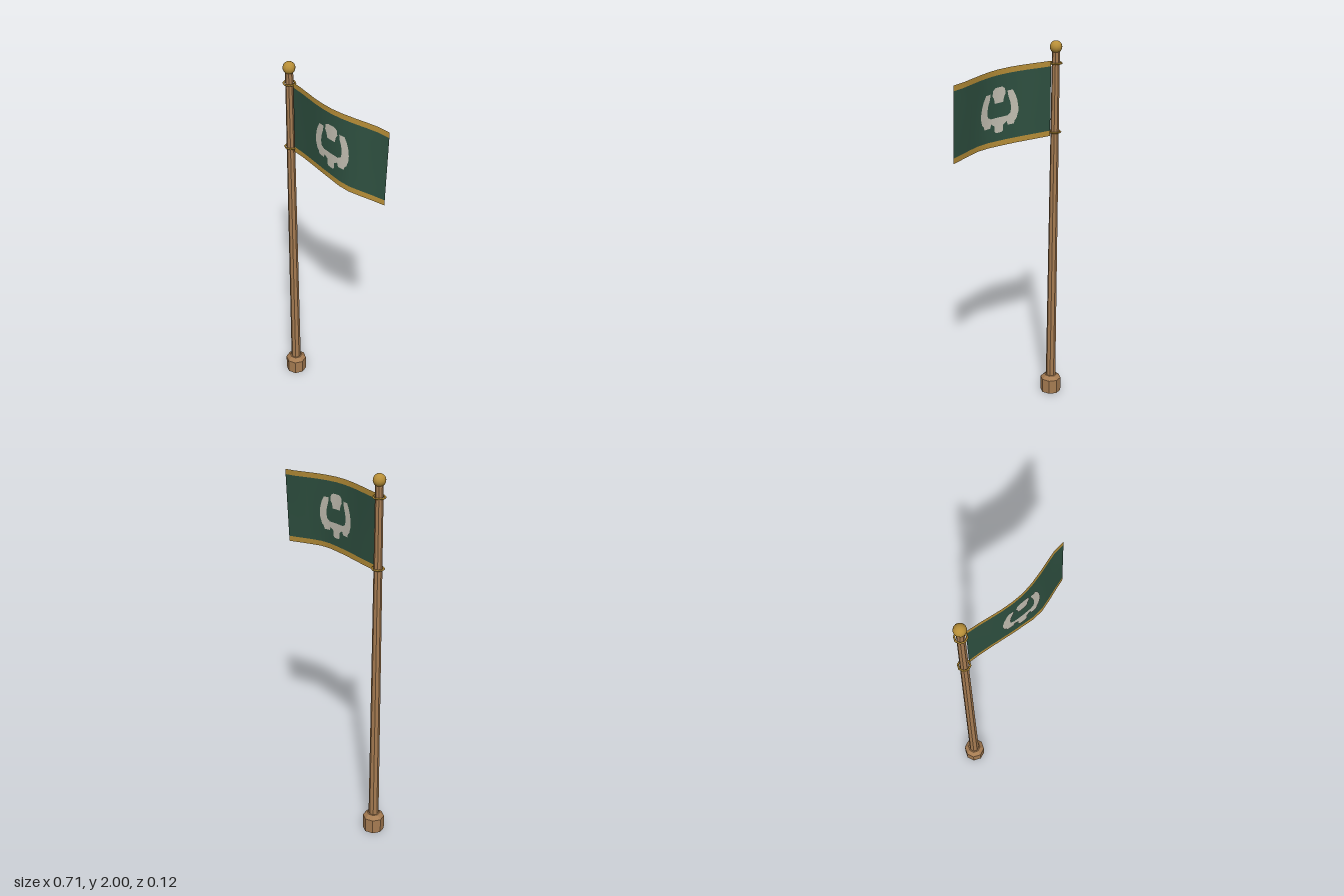
import * as THREE from 'three';

const mat = (name, color, side = THREE.FrontSide, flatShading = false) => {
  const m = new THREE.MeshStandardMaterial({ color, side, flatShading });
  m.name = name;
  return m;
};

const POLE_X = -0.3;
const FLAG_X = -0.27, FLAG_W = 0.625, FLAG_TOP = 1.9, FLAG_H = 0.393;

// Depth of the billowing cloth along its top and bottom hems
const WAVE_TOP = [0, 0.005, 0.013, 0.02, 0.023, 0.02, 0.008, -0.01, -0.031, -0.051, -0.06];
const WAVE_BOTTOM = [0, 0.002, 0.007, 0.013, 0.019, 0.023, 0.027, 0.021, 0.001, -0.022, -0.043];

function sample(table, u) {
  const t = THREE.MathUtils.clamp(u, 0, 1) * (table.length - 1);
  const i = Math.min(Math.floor(t), table.length - 2);
  return THREE.MathUtils.lerp(table[i], table[i + 1], t - i);
}

// Point on the cloth: u runs from pole to fly edge, v from top to bottom
function clothPoint(u, v, offset = 0) {
  const z = THREE.MathUtils.lerp(sample(WAVE_TOP, u), sample(WAVE_BOTTOM, u), v);
  return [FLAG_X + u * FLAG_W, FLAG_TOP - 0.027 * u * u - v * FLAG_H, z + offset];
}

// Patch of cloth through rows of [v, uStart, uEnd], listed from top to bottom
function clothPatch(rows, columns, offset = 0) {
  const positions = [], index = [];
  for (const [v, u0, u1] of rows) {
    for (let c = 0; c <= columns; c++) {
      positions.push(...clothPoint(THREE.MathUtils.lerp(u0, u1, c / columns), v, offset));
    }
  }
  const stride = columns + 1;
  for (let r = 0; r < rows.length - 1; r++) {
    for (let c = 0; c < columns; c++) {
      const a = r * stride + c, b = a + stride;
      index.push(a, b, a + 1, b, b + 1, a + 1);
    }
  }
  const g = new THREE.BufferGeometry();
  g.setAttribute('position', new THREE.Float32BufferAttribute(positions, 3));
  g.setIndex(index);
  g.computeVertexNormals();
  return g;
}

export function createModel() {
  const group = new THREE.Group();
  const wood = mat('wood', 0xa67c52, THREE.FrontSide, true);
  const brass = mat('brass', 0xb88f38);
  const trim = brass.clone();
  trim.side = THREE.DoubleSide;
  trim.name = 'gold trim';
  const green = mat('green cloth', 0x2f5141, THREE.DoubleSide);
  const cream = mat('cream paint', 0xc6c2b5, THREE.DoubleSide);

  const add = (name, geometry, material, x = 0, y = 0) => {
    const mesh = new THREE.Mesh(geometry, material);
    mesh.name = name;
    mesh.position.set(x, y, 0);
    group.add(mesh);
    return mesh;
  };

  // Octagonal foot with a bevelled top, and the tapered pole
  add('foot', new THREE.CylinderGeometry(0.057, 0.057, 0.08, 8), wood, POLE_X, 0.04);
  add('footBevel', new THREE.CylinderGeometry(0.034, 0.057, 0.02, 8), wood, POLE_X, 0.09);
  add('pole', new THREE.CylinderGeometry(0.02, 0.027, 1.86, 8), wood, POLE_X, 1.02);

  // Ball finial and the two rings that hold the flag
  add('finial', new THREE.SphereGeometry(0.032, 12, 10), brass, POLE_X, 1.968);
  for (const y of [1.885, 1.525]) {
    const ring = new THREE.TorusGeometry(0.03, 0.005, 6, 8).rotateX(Math.PI / 2);
    add('flagRing', ring, brass, POLE_X, y);
  }

  // Cloth with a gold band along the top and bottom
  const hem = 0.072;
  const band = (v0, v1, n) =>
    Array.from({ length: n + 1 }, (_, i) => [THREE.MathUtils.lerp(v0, v1, i / n), 0, 1]);
  add('cloth', clothPatch(band(hem, 1 - hem, 6), 10), green);
  add('topHem', clothPatch(band(0, hem, 1), 10), trim);
  add('bottomHem', clothPatch(band(1 - hem, 1, 1), 10), trim);

  // Painted wreath, as [height, left, right] rows about its centre (hundredths)
  const sideLeaf = [
    [9, 5.3, 8.5], [6.3, 5.8, 10], [3.2, 6.9, 11.1], [0, 7.4, 11.6], [-2.6, 6.9, 11.6],
    [-4.2, 4.2, 11.1], [-5.8, 3.7, 10.6], [-6.9, 4.8, 9.5], [-8.5, 5.3, 9],
  ];
  const topLeaf = [[11.6, -2.1, 2.1], [10.6, -3.7, 3.7], [7.9, -4.2, 4.2], [6.3, -3.2, 3.2], [3.7, -2.6, 2.6]];
  const bottomLeaf = [
    [-3.7, -4.8, 4.8], [-5.3, -4.8, 4.8], [-6.9, -4.2, 4.2], [-7.9, -2.6, 2.6],
    [-10.6, -2.6, 2.6], [-11.6, -1.6, 1.6],
  ];
  const mirrored = sideLeaf.map(([y, l, r]) => [y, -r, -l]);
  const leaves = { leftLeaf: sideLeaf, rightLeaf: mirrored, topLeaf, bottomLeaf };
  for (const [name, rows] of Object.entries(leaves)) {
    const onCloth = rows.map(([y, l, r]) => [
      0.522 - y / 100 / FLAG_H,
      0.497 + l / 100 / FLAG_W,
      0.497 + r / 100 / FLAG_W,
    ]);
    for (const offset of [0.003, -0.003]) add(name, clothPatch(onCloth, 4, offset), cream);
  }
  return group;
}
